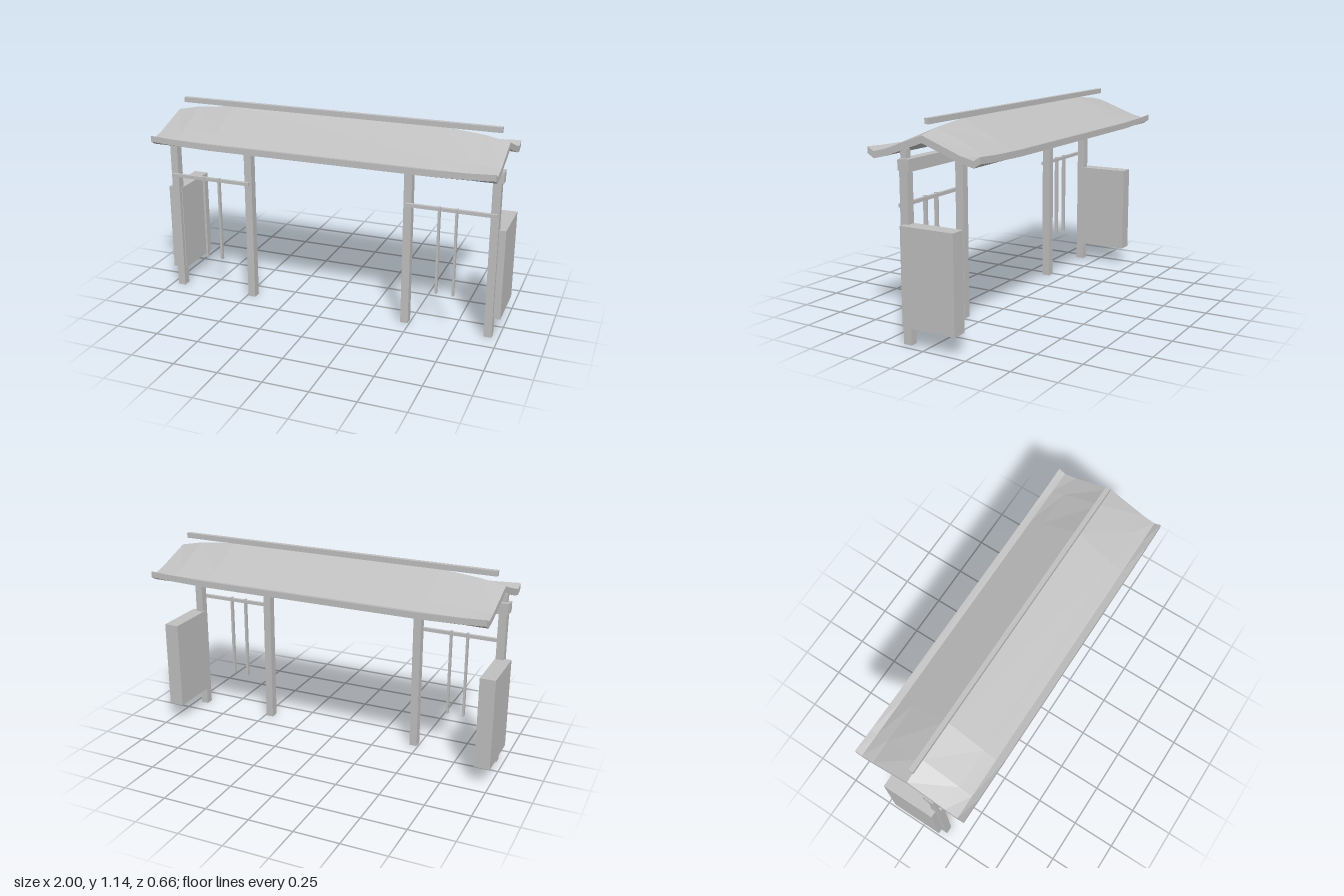
import * as THREE from 'three';

const grey = new THREE.MeshStandardMaterial({ color: 0xbfbfbf });
grey.name = 'plainGrey';

// Box given by its lower and upper limits on each axis
function box(name, x0, x1, y0, y1, z0, z1) {
  const mesh = new THREE.Mesh(new THREE.BoxGeometry(x1 - x0, y1 - y0, z1 - z0), grey);
  mesh.position.set((x0 + x1) / 2, (y0 + y1) / 2, (z0 + z1) / 2);
  mesh.name = name;
  return mesh;
}

// Curved gable roof: cross-sections joined along x, ridge sagging and eaves lifting at the ends
function roofGeometry() {
  // Each station: x, then top heights and bottom heights at the four distances from the ridge
  const dist = [0, 0.218, 0.29, 0.328];
  const mid = { top: [1.108, 0.998, 0.963, 0.97], low: [1.07, 0.962, 0.928, 0.936] };
  const end = { top: [1.06, 0.98, 0.963, 0.984], low: [1.023, 0.945, 0.928, 0.95] };
  const stations = [[-0.97, 1], [-0.84, 0.46], [-0.62, 0], [0.62, 0], [0.84, 0.46], [0.97, 1]];
  const across = [-3, -2, -1, 0, 1, 2, 3];
  const n = across.length * 2;
  const positions = [];
  const index = [];

  for (const [x, t] of stations) {
    const point = (side, k) => {
      const i = Math.abs(k);
      positions.push(x, THREE.MathUtils.lerp(mid[side][i], end[side][i], t), Math.sign(k) * dist[i]);
    };
    across.forEach((k) => point('top', k));
    [...across].reverse().forEach((k) => point('low', k));
  }

  const quad = (a, b, c, d) => index.push(a, b, c, a, c, d);
  for (let s = 0; s < stations.length - 1; s++) {
    for (let k = 0; k < n; k++) {
      const next = (k + 1) % n;
      quad(s * n + k, s * n + next, (s + 1) * n + next, (s + 1) * n + k);
    }
  }

  // Gable end faces
  const last = (stations.length - 1) * n;
  for (let k = 0; k < across.length - 1; k++) {
    quad(last + k, last + k + 1, last + n - 2 - k, last + n - 1 - k);
    quad(k, n - 1 - k, n - 2 - k, k + 1);
  }

  const indexed = new THREE.BufferGeometry();
  indexed.setAttribute('position', new THREE.Float32BufferAttribute(positions, 3));
  indexed.setIndex(index);
  const geometry = indexed.toNonIndexed();
  geometry.computeVertexNormals();
  return geometry;
}

// One side: two posts, rail with hanging bars, and side panel
function sideFrame(s) {
  const group = new THREE.Group();
  group.name = s > 0 ? 'leftFrame' : 'rightFrame';
  const add = (name, a, b, ...rest) =>
    group.add(box(name, Math.min(s * a, s * b), Math.max(s * a, s * b), ...rest));

  for (const x of [0.941, 0.47]) {
    add('post', x - 0.022, x + 0.022, 0, 0.882, 0.095, 0.143);
    add('postStub', x - 0.017, x + 0.017, 0.93, 0.985, 0.102, 0.137);
  }
  add('rail', 0.462, 0.953, 0.695, 0.714, 0.142, 0.16);
  for (const x of [0.743, 0.649]) {
    add('hangingBar', x - 0.006, x + 0.006, 0.22, 0.718, 0.144, 0.165);
  }
  add('sidePanel', 0.915, 1, 0.105, 0.617, -0.19, 0.12);
  return group;
}

export function createModel() {
  const model = new THREE.Group();
  model.name = 'roofedGate';

  const roof = new THREE.Mesh(roofGeometry(), grey);
  roof.name = 'roof';
  model.add(roof);

  model.add(box('ridgeBar', -0.927, 0.927, 1.108, 1.137, -0.013, 0.013));
  model.add(box('frontBeam', -0.975, 0.975, 0.881, 0.935, 0.095, 0.143));
  model.add(box('rearBeam', -0.972, 0.972, 0.877, 0.94, 0.079, 0.135));
  model.add(sideFrame(1), sideFrame(-1));
  return model;
}
